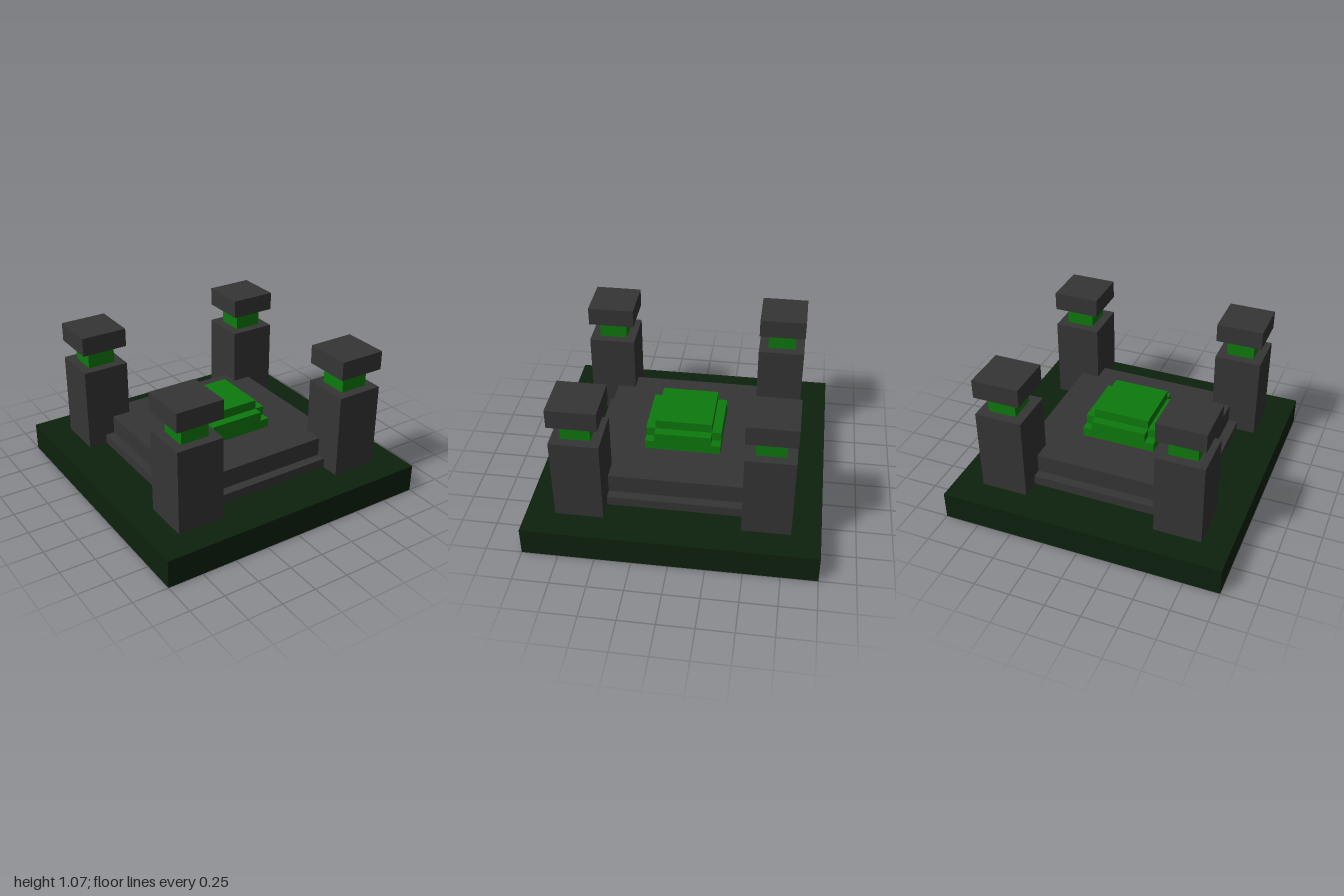
import * as THREE from 'three';

export function createModel() {
  const model = new THREE.Group();
  const material = (name, color) => {
    const m = new THREE.MeshStandardMaterial({ color });
    m.name = name;
    return m;
  };
  const darkGreen = material('dark green', 0x0d210d);
  const stone = material('charcoal stone', 0x363535);
  const green = material('bright green', 0x0d7a0d);

  const U = 1 / 15; // grid unit shared by every block

  // Block given by its width, depth, bottom and top in grid units
  function block(name, mat, w, d, y0, y1, parent = model) {
    const mesh = new THREE.Mesh(new THREE.BoxGeometry(w * U, (y1 - y0) * U, d * U), mat);
    mesh.position.y = ((y0 + y1) / 2) * U;
    mesh.name = name;
    parent.add(mesh);
  }

  // Ground slab and stepped platform
  block('groundSlab', darkGreen, 30, 30, 0, 3);
  block('platformLowerStep', stone, 20, 20, 3, 4);
  block('platformUpperStep', stone, 18, 18, 4, 6);

  // Stepped mound: square foot, cross-shaped middle, smaller square top
  const mound = new THREE.Group();
  mound.name = 'centralMound';
  model.add(mound);
  block('moundFoot', green, 8, 8, 6, 7, mound);
  block('moundCrossWide', green, 8, 6, 7, 8, mound);
  for (const side of [-1, 1]) {
    block('moundCrossArm', green, 6, 1, 7, 8, mound);
    mound.children.at(-1).position.z = side * 3.5 * U;
  }
  block('moundTop', green, 6, 6, 8, 9, mound);

  // Four corner pillars with a glowing neck and a stone cap
  for (const sx of [-1, 1]) {
    for (const sz of [-1, 1]) {
      const pillar = new THREE.Group();
      pillar.name = `${sz > 0 ? 'front' : 'back'}${sx > 0 ? 'Left' : 'Right'}Pillar`;
      pillar.position.set(sx * 9.5 * U, 0, sz * 9.5 * U);
      block('pillarShaft', stone, 5, 5, 3, 12, pillar);
      block('pillarNeck', green, 3, 3, 12, 14, pillar);
      block('pillarCap', stone, 5, 5, 14, 16, pillar);
      model.add(pillar);
    }
  }
  return model;
}
